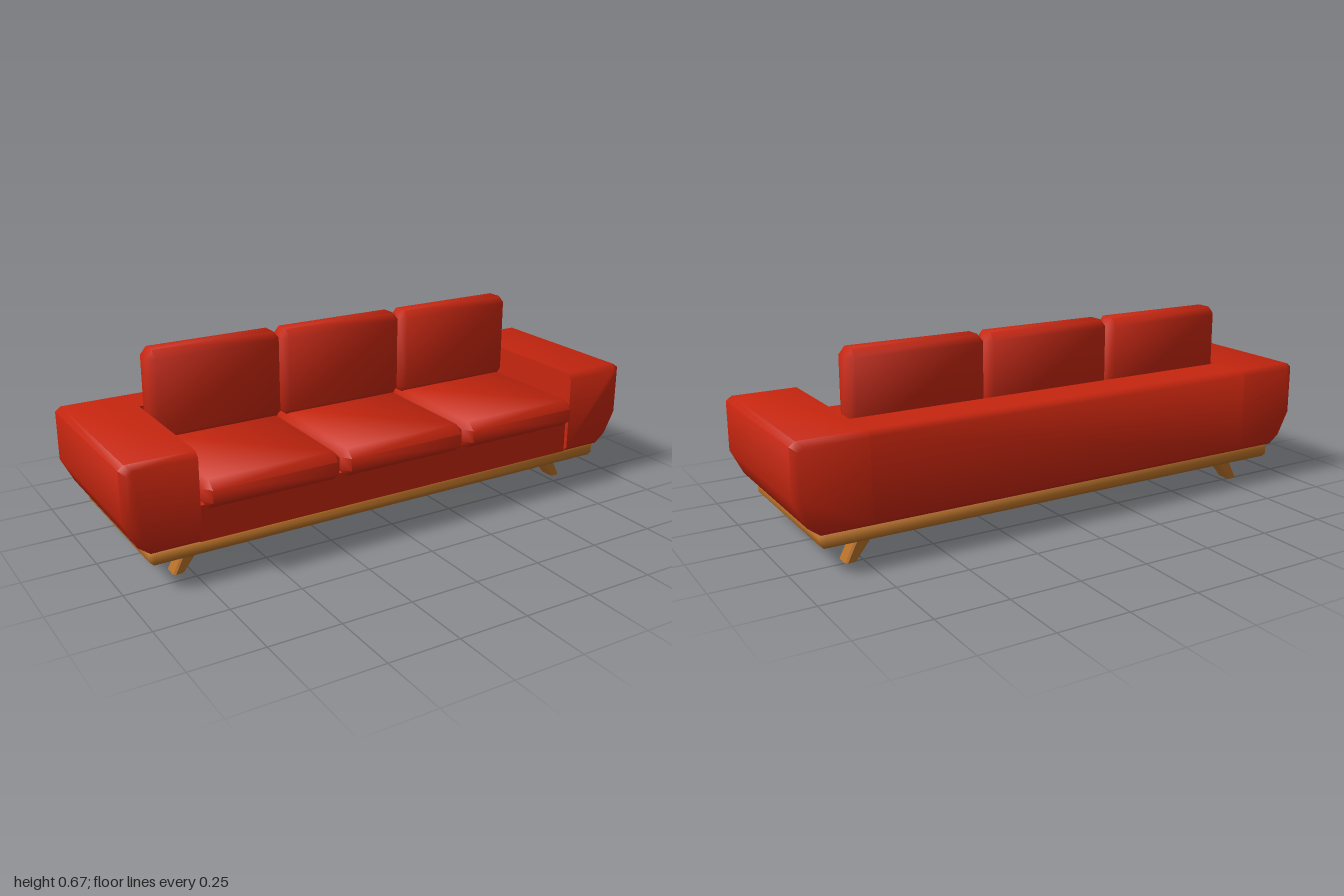
import * as THREE from 'three';
import { ConvexGeometry } from 'three/addons/geometries/ConvexGeometry.js';
import { toCreasedNormals } from 'three/addons/utils/BufferGeometryUtils.js';

const fabric = new THREE.MeshStandardMaterial({ color: 0xc8260f });
fabric.name = 'red fabric';
const wood = new THREE.MeshStandardMaterial({ color: 0xb87026 });
wood.name = 'wood';

// Convex solid from [x, y, z] points, soft across its bevels
function solid(name, points, material, crease = 1.05) {
  const hull = new ConvexGeometry(points.map(p => new THREE.Vector3(...p)));
  const mesh = new THREE.Mesh(toCreasedNormals(hull, crease), material);
  mesh.name = name;
  return mesh;
}

// Box between two corners with every edge chamfered by [bx, by, bz]
function chamferBox(name, lo, hi, bevel, material) {
  const points = [];
  for (const sx of [0, 1]) for (const sy of [0, 1]) for (const sz of [0, 1]) {
    const s = [sx, sy, sz];
    for (let face = 0; face < 3; face++) {
      points.push(s.map((side, i) => {
        const inset = i === face ? 0 : bevel[i];
        return side ? hi[i] - inset : lo[i] + inset;
      }));
    }
  }
  return solid(name, points, material);
}

// Arm: tapered outer profile, chamfered at the front and rear
function arm(name, side) {
  const profile = [[0.75, 0.14], [0.915, 0.14], [0.955, 0.17], [1, 0.26], [1, 0.435], [0.98, 0.45], [0.75, 0.45]];
  const points = [];
  for (const [x, y] of profile) {
    const ix = 0.75 + (x - 0.75) * 0.92;
    const iy = 0.295 + (y - 0.295) * 0.88;
    for (const z of [0.29, -0.325]) points.push([side * x, y, z]);
    for (const z of [0.31, -0.345]) points.push([side * ix, iy, z]);
  }
  return solid(name, points, fabric);
}

// Splayed leg, wider at the top, with softened front and rear corners
function leg(name, side, z) {
  const points = [];
  for (const [x0, x1, y] of [[0.775, 0.813, 0], [0.704, 0.768, 0.09]]) {
    for (const dz of [-1, 1]) {
      for (const x of [x0, x1]) points.push([side * x, y, z + dz * 0.023]);
      for (const x of [x0 + 0.008, x1 - 0.008]) points.push([side * x, y, z + dz * 0.029]);
    }
  }
  return solid(name, points, wood, 0.6);
}

export function createModel() {
  const sofa = new THREE.Group();
  sofa.name = 'sofa';

  // Wooden platform
  sofa.add(chamferBox('platform', [-0.915, 0.087, -0.32], [0.915, 0.141, 0.285], [0.015, 0.015, 0.015], wood));

  // Arms and legs, mirrored
  for (const [label, side] of [['left', 1], ['right', -1]]) {
    sofa.add(arm(`${label}Arm`, side));
    sofa.add(leg(`${label}FrontLeg`, side, 0.179));
    sofa.add(leg(`${label}BackLeg`, side, -0.229));
  }

  // Low backrest between the arms
  const backProfile = [[0.158, -0.345], [0.14, -0.325], [0.14, -0.185], [0.45, -0.185], [0.45, -0.325], [0.432, -0.345]];
  sofa.add(solid('backrest', backProfile.flatMap(([y, z]) => [[-0.75, y, z], [0.75, y, z]]), fabric));

  // Seat base
  const base = new THREE.Mesh(new THREE.BoxGeometry(1.5, 0.125, 0.48), fabric);
  base.name = 'seatBase';
  base.position.set(0, 0.2025, 0.055);
  sofa.add(base);

  // Three seat cushions and three back cushions
  for (let i = -1; i <= 1; i++) {
    const x = i * 0.499;
    sofa.add(chamferBox('seatCushion', [x - 0.247, 0.258, -0.18], [x + 0.247, 0.357, 0.347], [0.024, 0.027, 0.034], fabric));
    sofa.add(chamferBox('backCushion', [x - 0.246, 0.345, -0.18], [x + 0.246, 0.667, -0.081], [0.022, 0.027, 0.022], fabric));
  }
  return sofa;
}
